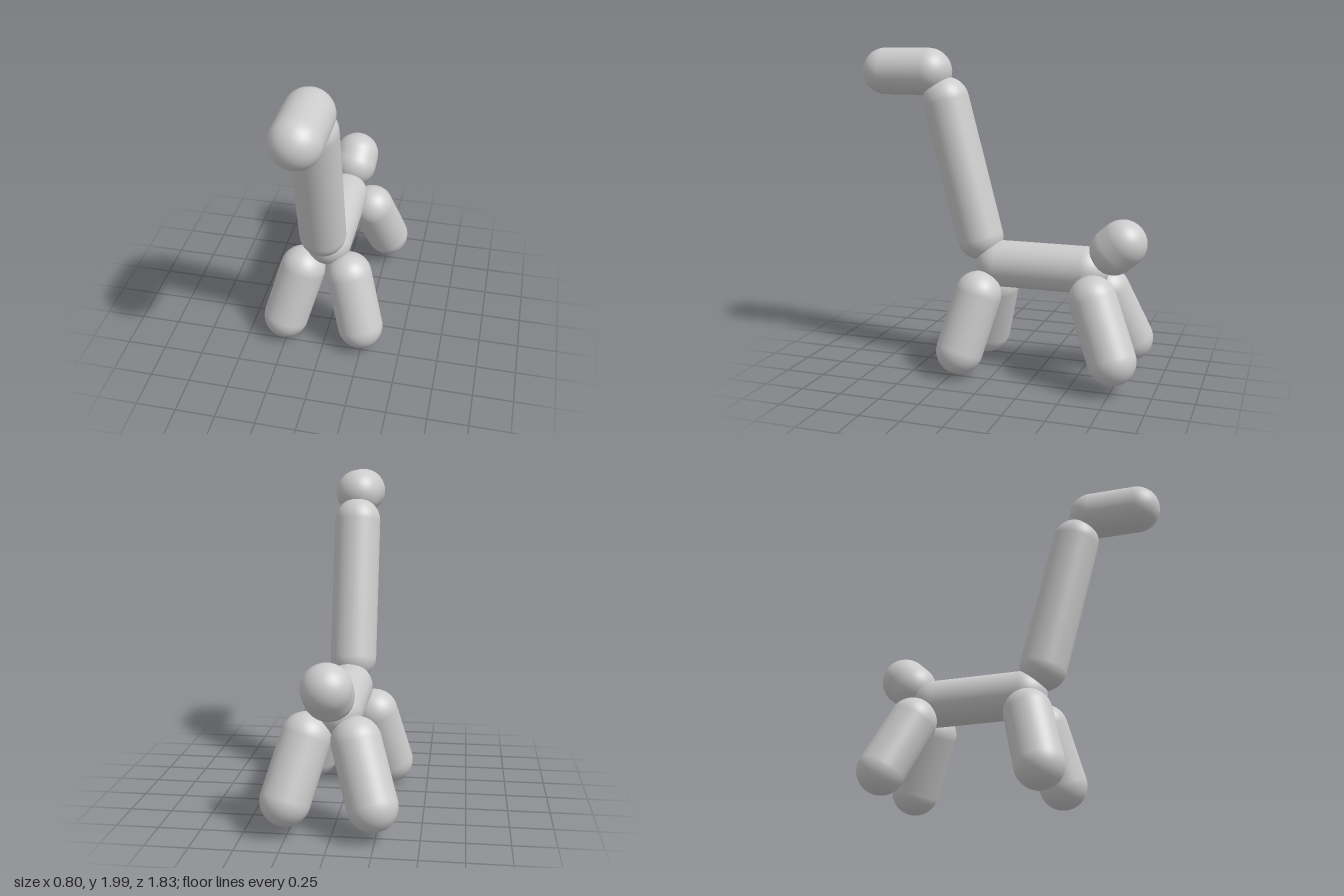
import * as THREE from 'three';

const RADIUS = 0.145;

// Round-ended limb whose end spheres are centred on the two given points
function limb(name, material, from, to) {
  const a = new THREE.Vector3(...from);
  const b = new THREE.Vector3(...to);
  const axis = b.clone().sub(a);
  const mesh = new THREE.Mesh(new THREE.CapsuleGeometry(RADIUS, axis.length(), 12, 40), material);
  mesh.name = name;
  mesh.position.copy(a).add(b).multiplyScalar(0.5);
  mesh.quaternion.setFromUnitVectors(new THREE.Vector3(0, 1, 0), axis.normalize());
  return mesh;
}

export function createModel() {
  const group = new THREE.Group();
  group.name = 'longNeckedAnimal';
  const grey = new THREE.MeshStandardMaterial({ color: 0xcccccc });

  // Each part runs between two joint centres; the pose is slightly asymmetric
  const parts = [
    ['head', [-0.015, 1.855, 0.48], [-0.015, 1.855, 0.77]],
    ['neck', [-0.02, 0.835, 0.147], [-0.02, 1.68, 0.37]],
    ['body', [-0.01, 0.675, 0.02], [-0.01, 0.675, -0.53]],
    ['tail', [0.015, 0.81, -0.71], [0.02, 0.86, -0.765]],
    ['frontLeftLeg', [0.14, 0.505, 0.107], [0.235, 0.165, 0.195]],
    ['frontRightLeg', [-0.165, 0.495, 0.09], [-0.26, 0.15, 0.18]],
    ['rearLeftLeg', [0.16, 0.54, -0.62], [0.255, 0.21, -0.76]],
    ['rearRightLeg', [-0.13, 0.53, -0.64], [-0.235, 0.205, -0.775]],
  ];
  for (const [name, from, to] of parts) group.add(limb(name, grey, from, to));

  return group;
}
